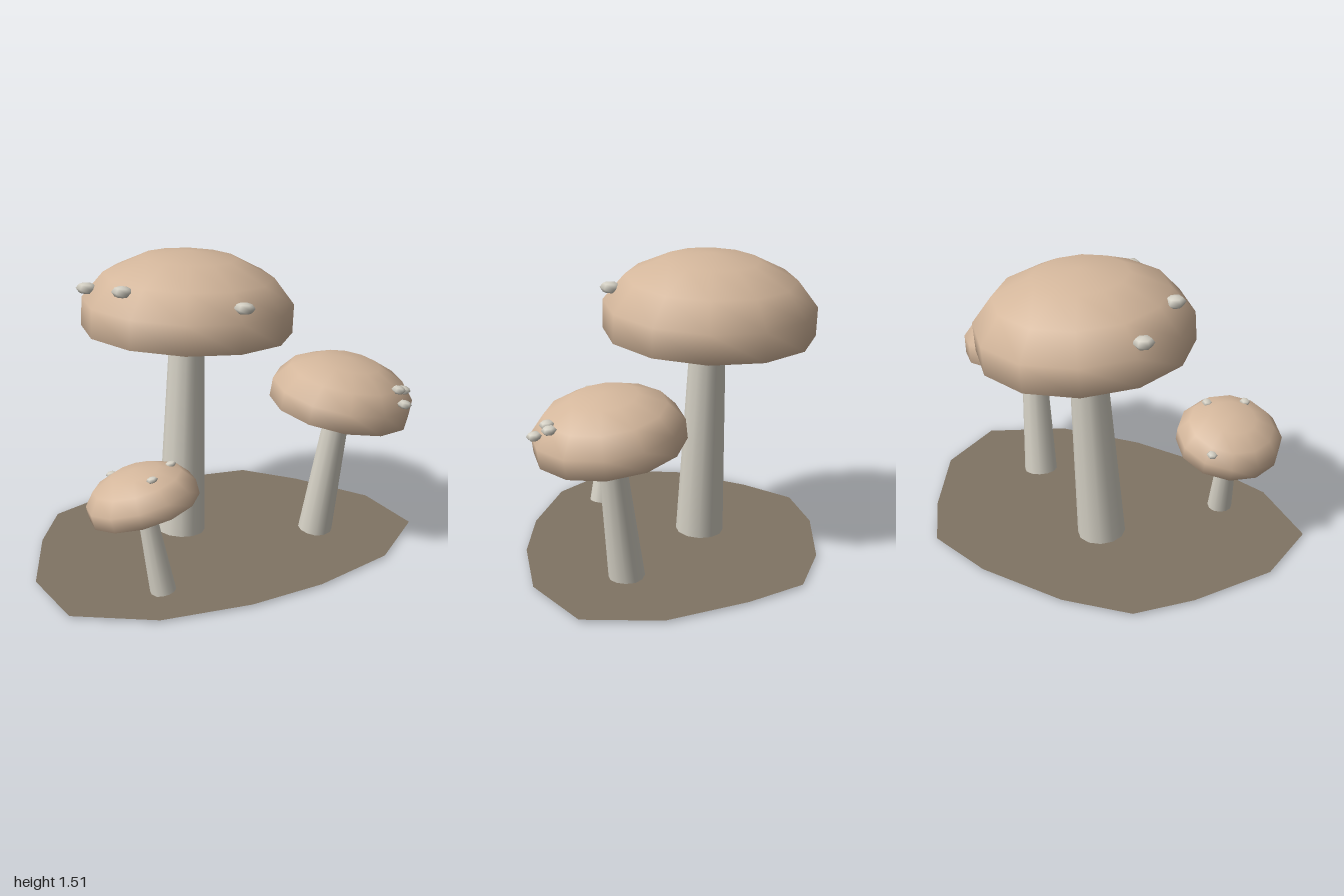
import * as THREE from 'three';

function material(name, color) {
  const m = new THREE.MeshStandardMaterial({ color, side: THREE.DoubleSide });
  m.name = name;
  return m;
}

const CAP_ANGLE = 1.8; // the cap curves a little past its widest ring

export function createModel() {
  const model = new THREE.Group();
  model.name = 'mushroomPatch';

  const tan = material('capTan', 0xd4b79c);
  const cream = material('stemCream', 0xd4d0c4);
  const grey = material('gillGrey', 0xc6c6c1);
  const brown = material('soilBrown', 0x807464);

  function add(parent, name, geometry, mat) {
    const mesh = new THREE.Mesh(geometry, mat);
    mesh.name = name;
    parent.add(mesh);
    return mesh;
  }

  // Flat patch of soil
  const outline = [
    [-1, 0], [-0.79, -0.4], [-0.59, -0.65], [-0.24, -0.74], [0.23, -0.74],
    [0.59, -0.65], [0.79, -0.39], [1, 0], [1, 0.39], [0.65, 0.64],
    [0.2, 0.73], [-0.2, 0.73], [-0.65, 0.64], [-1, 0.39],
  ].map(([x, z]) => new THREE.Vector2(x, -z));
  const soil = new THREE.ShapeGeometry(new THREE.Shape(outline));
  soil.rotateX(-Math.PI / 2);
  add(model, 'ground', soil, brown).position.y = 0.012;

  // Tapered open stem between two points
  function addStem(parent, from, to, rBottom, rTop) {
    const a = new THREE.Vector3(...from);
    const b = new THREE.Vector3(...to);
    const dir = b.clone().sub(a);
    const geo = new THREE.CylinderGeometry(rTop, rBottom, dir.length(), 12, 1, true);
    const stem = add(parent, 'stem', geo, cream);
    stem.position.copy(a).add(b).multiplyScalar(0.5);
    stem.quaternion.setFromUnitVectors(new THREE.Vector3(0, 1, 0), dir.normalize());
  }

  function addMushroom(s) {
    const group = new THREE.Group();
    group.name = s.name;
    model.add(group);
    addStem(group, s.base, s.top, s.rBase, s.rTop);

    // Dome whose rim sits at the local origin, then leaned
    const head = new THREE.Group();
    head.name = 'head';
    head.position.set(...s.rim);
    head.rotation.set(s.leanX, 0, s.leanZ);
    group.add(head);
    const dome = new THREE.SphereGeometry(1, 12, 4, 0, Math.PI * 2, 0, CAP_ANGLE);
    dome.translate(0, -Math.cos(CAP_ANGLE), 0);
    dome.scale(s.radius, s.height, s.radius);
    add(head, 'cap', dome, tan);

    // Underside disc
    if (s.gills) {
      const disc = new THREE.CircleGeometry(s.radius * Math.sin(CAP_ANGLE), 12);
      disc.rotateX(Math.PI / 2);
      add(head, 'gills', disc, grey);
    }

    // Flattened warts on the cap
    for (const p of s.spots) {
      const geo = new THREE.SphereGeometry(1, 6, 4);
      geo.rotateY(Math.PI / 6);
      geo.scale(s.spotSize[0], s.spotSize[1], s.spotSize[0]);
      const spot = add(group, 'spot', geo, cream);
      spot.position.set(...p);
      spot.rotation.set(s.leanX, 0, s.leanZ);
    }
  }

  addMushroom({
    name: 'largeMushroom',
    base: [-0.1, 0.02, -0.147], top: [-0.03, 1.2, -0.19], rBase: 0.123, rTop: 0.085,
    rim: [-0.035, 1.105, -0.19], leanX: -0.035, leanZ: -0.065,
    radius: 0.55, height: 0.33, gills: false, spotSize: [0.053, 0.03],
    spots: [[-0.455, 1.39, -0.07], [-0.485, 1.33, -0.41], [0.005, 1.335, 0.3]],
  });
  addMushroom({
    name: 'mediumMushroom',
    base: [0.517, 0.015, 0.2], top: [0.604, 0.76, 0.272], rBase: 0.089, rTop: 0.06,
    rim: [0.6, 0.712, 0.265], leanX: 0.105, leanZ: -0.14,
    radius: 0.372, height: 0.22, gills: true, spotSize: [0.037, 0.021],
    spots: [[0.762, 0.86, 0.54], [0.805, 0.847, 0.525], [0.757, 0.803, 0.6]],
  });
  addMushroom({
    name: 'smallMushroom',
    base: [-0.505, 0.016, 0.4], top: [-0.575, 0.49, 0.35], rBase: 0.064, rTop: 0.041,
    rim: [-0.565, 0.452, 0.338], leanX: -0.16, leanZ: 0.2,
    radius: 0.277, height: 0.162, gills: true, spotSize: [0.028, 0.014],
    spots: [[-0.61, 0.53, 0.075], [-0.43, 0.647, 0.35], [-0.59, 0.645, 0.465]],
  });

  return model;
}
